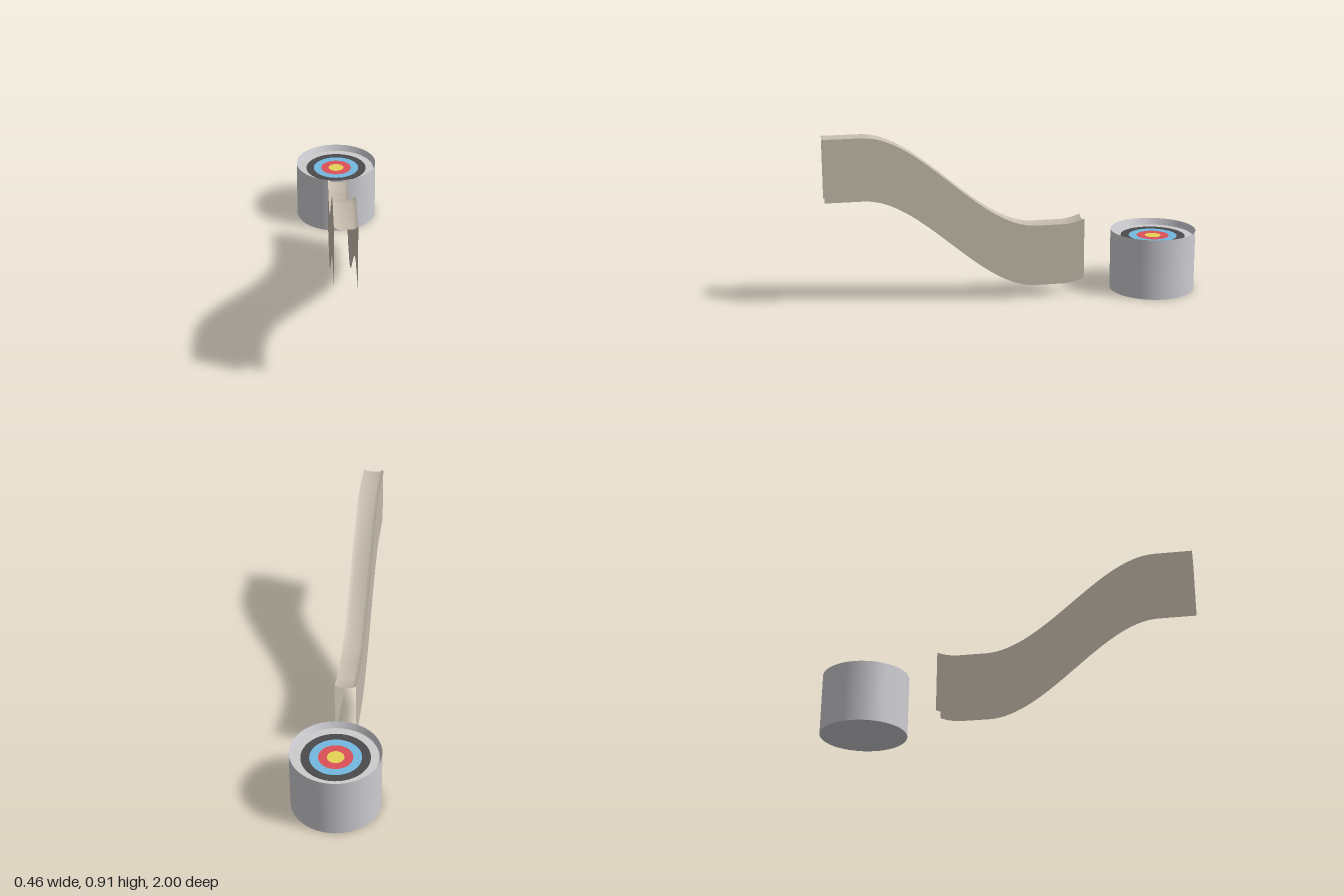
import * as THREE from 'three';

const rampHalf = 0.055, wallHeight = 0.33;
const rampColor = 0xc4baac, drumColor = 0xccccd2;

function material(color) {
  return new THREE.MeshStandardMaterial({ color, side: THREE.DoubleSide });
}

function addMesh(parent, name, geometry, color) {
  const mesh = new THREE.Mesh(geometry, material(color));
  mesh.name = name;
  parent.add(mesh);
  return mesh;
}

// Top edge of the ramp as [z, y] points: level start, S-shaped drop, level run, kicked-up lip
function rampPath() {
  const v = (z, y) => new THREE.Vector2(z, y);
  const drop = new THREE.CubicBezierCurve(v(0.8, 0.91), v(0.5, 0.91), v(0.2, 0.4), v(-0.11, 0.4));
  const lip = new THREE.QuadraticBezierCurve(v(-0.27, 0.4), v(-0.325, 0.405), v(-0.37, 0.425));
  return [v(1, 0.91), ...drop.getPoints(32), ...lip.getPoints(6)];
}

// Sweeps an open [x, dy] section along the path, keeping it upright
function sweep(section, path) {
  const positions = [], indices = [], n = section.length;
  for (const p of path) for (const [x, dy] of section) positions.push(x, p.y + dy, p.x);
  for (let i = 0; i < path.length - 1; i++) {
    for (let j = 0; j < n - 1; j++) {
      const a = i * n + j, c = a + n;
      indices.push(a, a + 1, c, a + 1, c + 1, c);
    }
  }
  const geometry = new THREE.BufferGeometry();
  geometry.setAttribute('position', new THREE.Float32BufferAttribute(positions, 3));
  geometry.setIndex(indices);
  geometry.computeVertexNormals();
  return geometry;
}

function createRamp() {
  const ramp = new THREE.Group();
  ramp.name = 'ramp';
  const path = rampPath();
  // Shallow channel the ball rolls in
  const channel = [[-rampHalf, 0], [-0.033, -0.014], [0.033, -0.014], [rampHalf, 0]];
  addMesh(ramp, 'channel', sweep(channel, path), rampColor);
  // Thin side walls, open underneath and at both ends
  addMesh(ramp, 'leftWall', sweep([[rampHalf, 0], [rampHalf, -wallHeight]], path), rampColor);
  addMesh(ramp, 'rightWall', sweep([[-rampHalf, -wallHeight], [-rampHalf, 0]], path), rampColor);
  return ramp;
}

function createTarget() {
  const target = new THREE.Group();
  target.name = 'target';
  const radius = 0.23, height = 0.33, floorY = 0.295, ring = 0.0217, segments = 64;

  // Drum side and base
  const side = new THREE.CylinderGeometry(radius, radius, height, segments, 1, true);
  addMesh(target, 'drumSide', side.translate(0, height / 2, 0), drumColor);
  const base = new THREE.CircleGeometry(radius, segments).rotateX(Math.PI / 2);
  addMesh(target, 'drumBase', base, drumColor);

  // Sloped inner lip down to the recessed face
  const lip = new THREE.LatheGeometry(
    [new THREE.Vector2(radius, height), new THREE.Vector2(ring * 10, floorY)], segments);
  addMesh(target, 'innerLip', lip, drumColor);

  // Coloured scoring bands, each two rings wide
  const bands = [
    ['yellowCentre', 0xe8d255], ['redBand', 0xdc5058], ['blueBand', 0x74b8e0],
    ['blackBand', 0x4a4a4c], ['whiteBand', 0xcccccc],
  ];
  bands.forEach(([name, color], i) => {
    const inner = i * 2 * ring, outer = inner + 2 * ring;
    const band = i === 0
      ? new THREE.CircleGeometry(outer, segments)
      : new THREE.RingGeometry(inner, outer, segments, 2);
    addMesh(target, name, band.rotateX(-Math.PI / 2).translate(0, floorY, 0), color);
  });

  target.position.z = -0.77;
  return target;
}

export function createModel() {
  const model = new THREE.Group();
  model.name = 'rampAndTarget';
  model.add(createRamp(), createTarget());
  return model;
}
